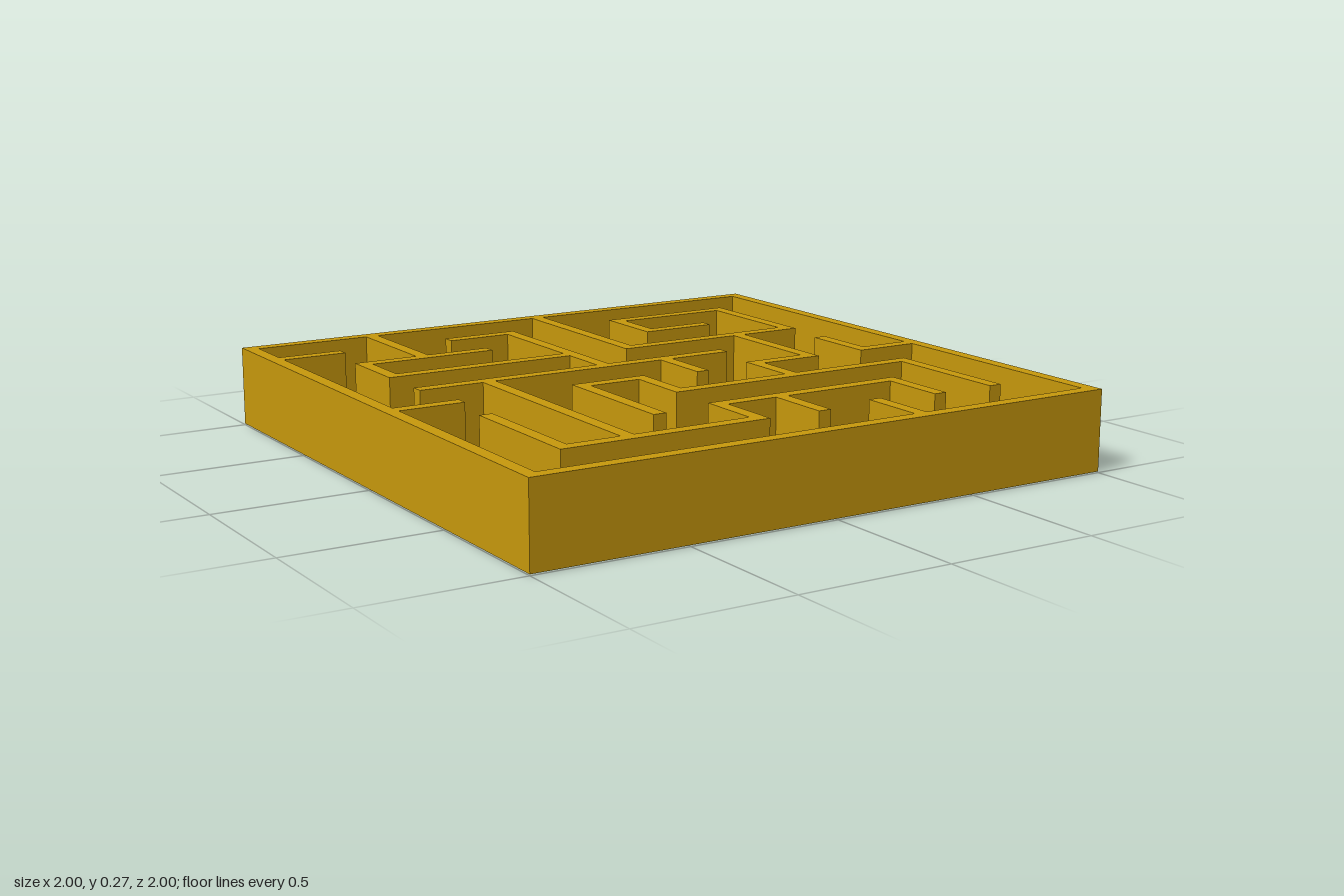
import * as THREE from 'three';

const CELLS = 9;
const THICK = 0.0435;
const PITCH = (2 - THICK) / CELLS;
const FLOOR = 0.004;
const HEIGHT = 0.261;

// Inner walls as [line, start, end] on the grid of cell borders
const ACROSS = [
  [1, 0, 1], [1, 3, 4], [1, 6, 8],
  [2, 1, 3], [2, 6, 7],
  [3, 1, 4], [3, 5, 8],
  [4, 1, 6],
  [5, 0, 1], [5, 3, 4], [5, 6, 7], [5, 8, 9],
  [6, 4, 8], [7, 4, 7], [8, 1, 4],
];
const ALONG = [
  [1, 2, 3], [1, 6, 8],
  [2, 0, 2], [2, 4, 8],
  [3, 5, 7],
  [4, 1, 4], [4, 5, 6], [4, 7, 8],
  [5, 0, 3], [5, 4, 5], [5, 7, 8],
  [6, 1, 2], [6, 5, 6], [6, 8, 9],
  [7, 3, 5], [7, 7, 8],
  [8, 1, 3], [8, 4, 5], [8, 6, 8],
];

const at = (i) => (i - CELLS / 2) * PITCH;

export function createModel() {
  const maze = new THREE.Group();
  maze.name = 'maze';
  const wallMaterial = new THREE.MeshStandardMaterial({ color: 0xc8990c });
  const floorMaterial = new THREE.MeshStandardMaterial({ color: 0x62cb86 });

  // One straight wall, running along x or along z, with square ends
  function addWall(parent, name, [line, start, end], alongZ) {
    const length = (end - start) * PITCH + THICK;
    const wall = new THREE.Mesh(
      new THREE.BoxGeometry(alongZ ? THICK : length, HEIGHT, alongZ ? length : THICK),
      wallMaterial
    );
    const mid = at((start + end) / 2);
    wall.position.set(alongZ ? at(line) : mid, FLOOR + HEIGHT / 2, alongZ ? mid : at(line));
    wall.name = name;
    parent.add(wall);
  }

  // Outer frame
  const frame = new THREE.Group();
  frame.name = 'outerWalls';
  for (const line of [0, CELLS]) {
    addWall(frame, line ? 'frontWall' : 'backWall', [line, 0, CELLS], false);
    addWall(frame, line ? 'leftWall' : 'rightWall', [line, 0, CELLS], true);
  }

  // Passage walls
  const inner = new THREE.Group();
  inner.name = 'innerWalls';
  ACROSS.forEach((w) => addWall(inner, 'crossWall', w, false));
  ALONG.forEach((w) => addWall(inner, 'lengthWall', w, true));

  // Thin floor inside the frame
  const side = 2 - 2 * THICK;
  const floor = new THREE.Mesh(new THREE.BoxGeometry(side, FLOOR, side), floorMaterial);
  floor.position.y = FLOOR / 2;
  floor.name = 'floor';

  maze.add(frame, inner, floor);
  return maze;
}
